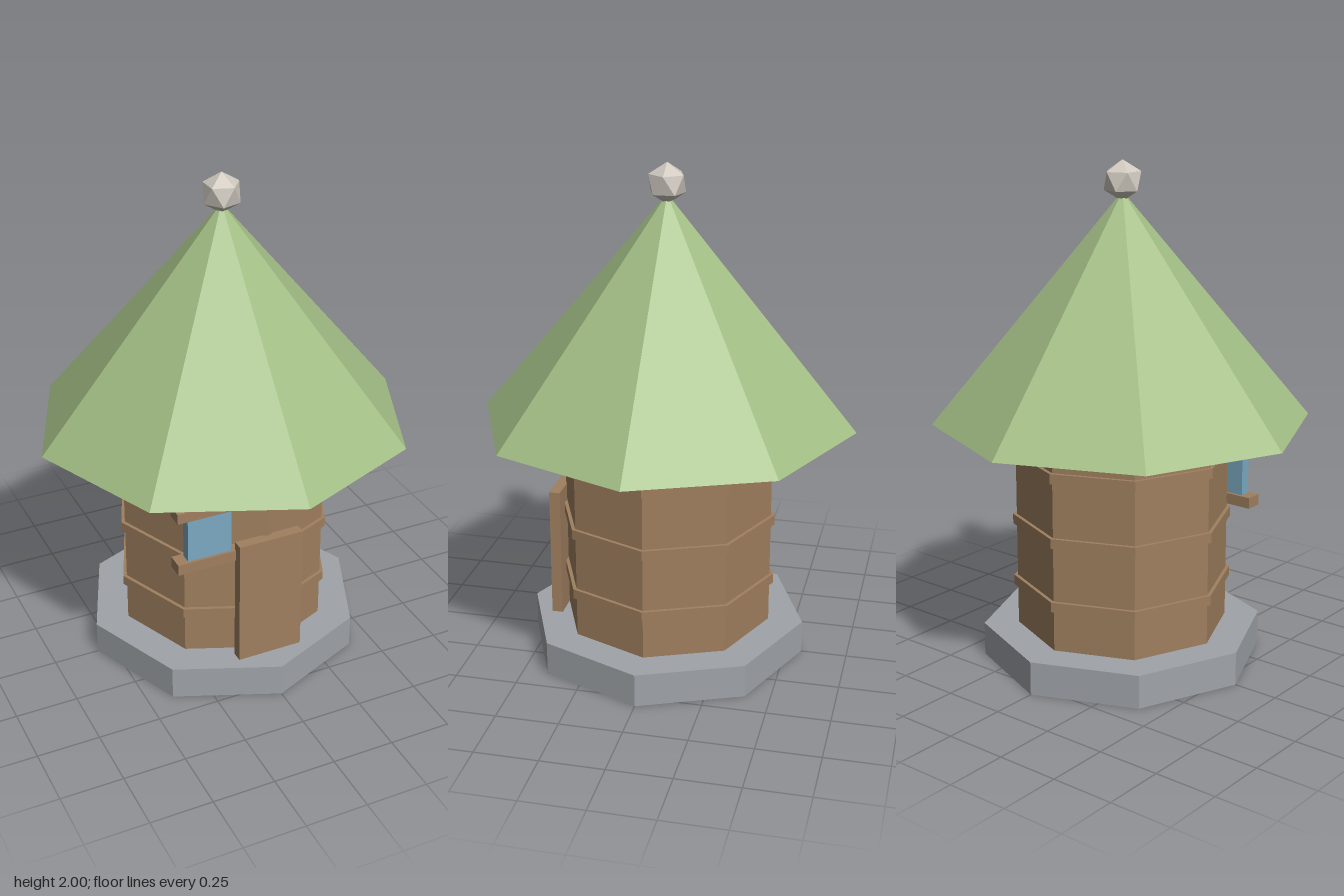
import * as THREE from 'three';

const flat = (name, color) => {
  const m = new THREE.MeshStandardMaterial({ color, flatShading: true });
  m.name = name;
  return m;
};

export function createModel() {
  const group = new THREE.Group();
  const stone = flat('grey stone', 0xa0a4a9);
  const wood = flat('brown wood', 0x9f7f5f);
  const tiles = flat('green roof', 0xa3be85);
  const glass = flat('blue glass', 0x7aa8c0);
  const knob = flat('pale knob', 0xcfc9bf);

  const add = (name, geometry, material, x, y, z) => {
    const mesh = new THREE.Mesh(geometry, material);
    mesh.name = name;
    mesh.position.set(x, y, z);
    group.add(mesh);
  };
  // Eight-sided prism between two heights
  const octagon = (name, r, y0, y1, material) =>
    add(name, new THREE.CylinderGeometry(r, r, y1 - y0, 8), material, 0, (y0 + y1) / 2, 0);
  // Box given by its limits on each axis
  const box = (name, [x0, x1], [y0, y1], [z0, z1], material) =>
    add(name, new THREE.BoxGeometry(x1 - x0, y1 - y0, z1 - z0), material,
      (x0 + x1) / 2, (y0 + y1) / 2, (z0 + z1) / 2);

  // Plinth, walls and the three raised bands
  octagon('plinth', 0.565, 0, 0.135, stone);
  octagon('walls', 0.425, 0.135, 0.985, wood);
  [0.32, 0.58, 0.84].forEach((y, i) => octagon(`band${i + 1}`, 0.44, y - 0.02, y + 0.02, wood));

  // Pointed roof with closed underside
  add('roof', new THREE.ConeGeometry(0.75, 0.9, 8), tiles, 0, 1.43, 0);

  // Finial: icosahedron turned to stand on a corner
  const ball = new THREE.IcosahedronGeometry(0.08, 0);
  ball.rotateZ(-Math.atan(2 / (1 + Math.sqrt(5))));
  add('finial', ball, knob, 0, 1.92, 0);

  // Door, and window with sill and lintel
  box('door', [-0.135, 0.135], [0.135, 0.67], [0.412, 0.456], wood);
  box('windowPane', [-0.33, -0.15], [0.63, 0.825], [0.365, 0.409], glass);
  box('windowSill', [-0.375, -0.115], [0.59, 0.635], [0.352, 0.42], wood);
  box('windowLintel', [-0.375, -0.115], [0.82, 0.862], [0.352, 0.42], wood);

  return group;
}
